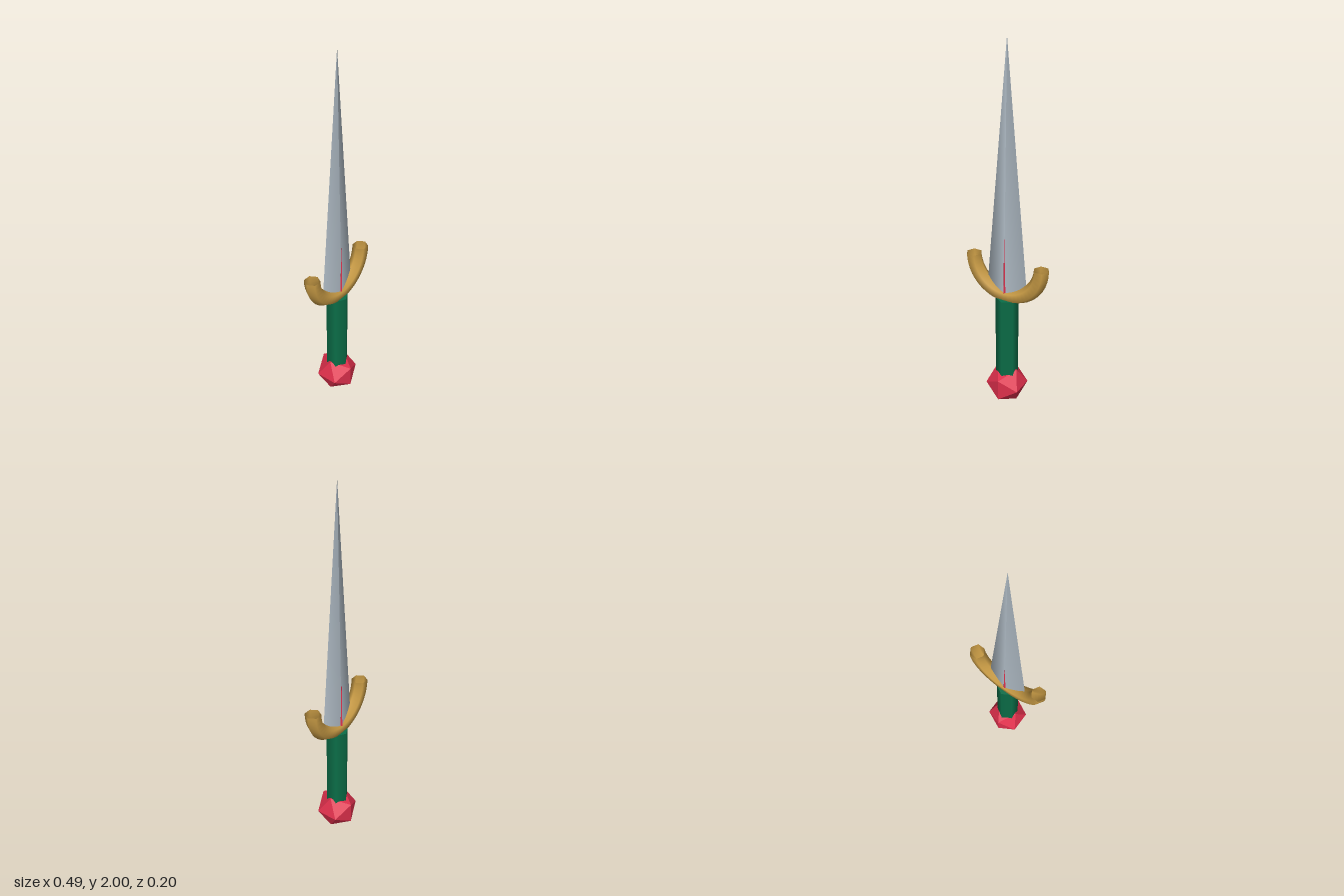
import * as THREE from 'three';

export function createModel() {
  const group = new THREE.Group();
  const material = (name, color, options = {}) =>
    Object.assign(new THREE.MeshStandardMaterial({ color, ...options }), { name });
  const steel = material('steel', 0xb4c0ca);
  const gold = material('gold', 0xc89b45, { side: THREE.DoubleSide });
  const green = material('green grip', 0x0b6e48);
  const red = material('red gem', 0xdc2f4b, { flatShading: true });

  const add = (name, geometry, mat, y, z = 0) => {
    const mesh = new THREE.Mesh(geometry, mat);
    mesh.name = name;
    mesh.position.set(0, y, z);
    group.add(mesh);
    return mesh;
  };

  // Faceted gem at the bottom
  add('pommel', new THREE.IcosahedronGeometry(0.115), red, 0.098);

  // Six-sided grip, running into the pommel
  add('grip', new THREE.CylinderGeometry(0.061, 0.061, 0.52, 6), green, 0.385);

  // Half ring with open, upturned ends
  const ring = new THREE.TorusGeometry(0.2, 0.0425, 6, 24, Math.PI);
  ring.rotateZ(Math.PI);
  add('guard', ring, gold, 0.86);

  // Flattened four-sided blade
  const blade = add('blade', new THREE.ConeGeometry(0.122, 1.34, 4), steel, 1.33);
  blade.scale.z = 0.25;

  // Thin red ridge inlay on both faces of the blade
  for (const [name, side] of [['frontInlay', 1], ['backInlay', -1]]) {
    add(name, new THREE.ConeGeometry(0.007, 0.35, 4), red, 0.835, side * 0.028);
  }
  return group;
}
